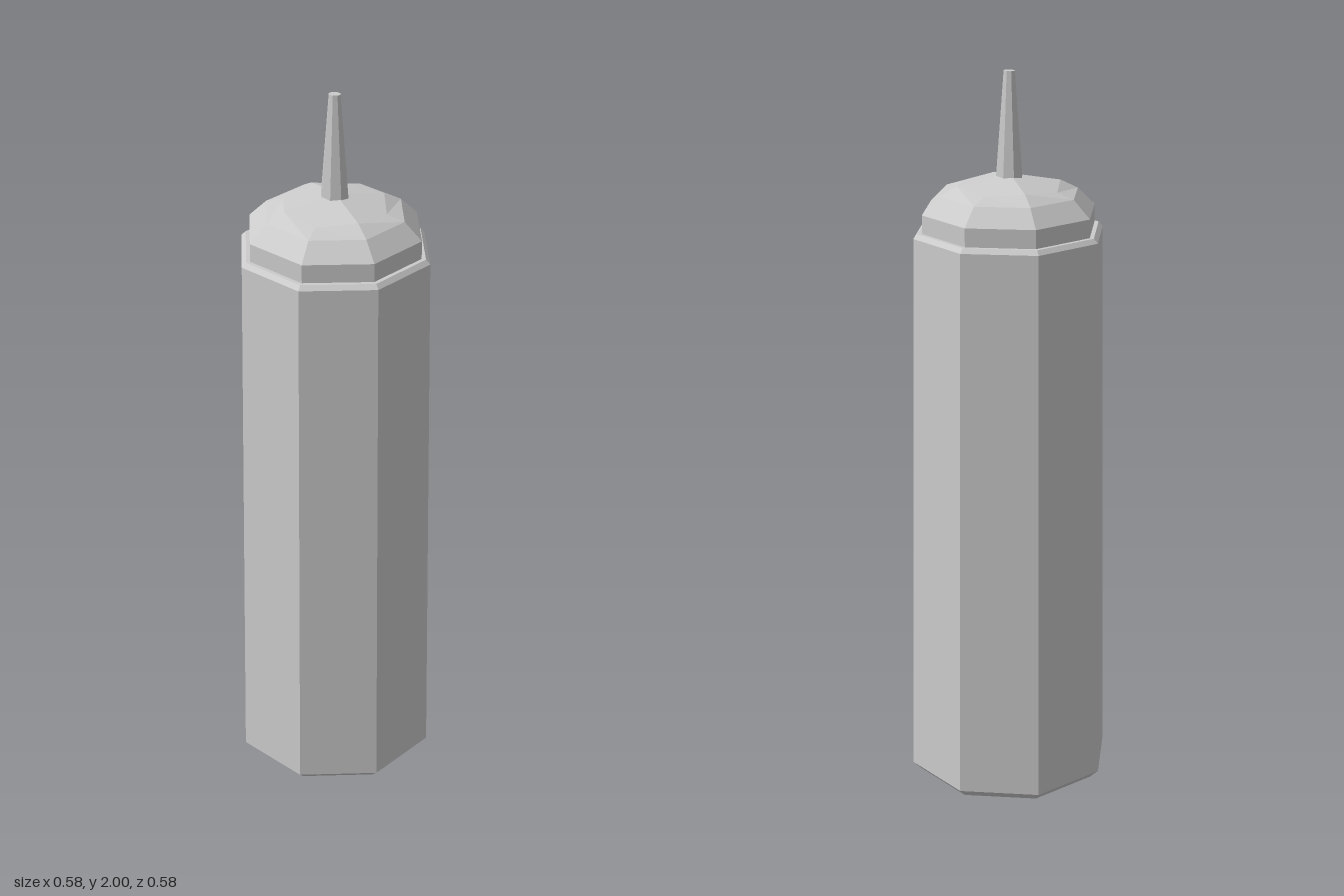
import * as THREE from 'three';

const SIDES = 8;

function lathePart(name, profile, material) {
  const points = profile.map(([r, y]) => new THREE.Vector2(r, y));
  const mesh = new THREE.Mesh(new THREE.LatheGeometry(points, SIDES), material);
  mesh.name = name;
  return mesh;
}

export function createModel() {
  const group = new THREE.Group();
  group.name = 'squeezeBottle';
  const material = new THREE.MeshStandardMaterial({ color: 0xcccccc, flatShading: true });

  // Tapered body with a bevelled foot and shoulder
  const body = lathePart('body', [
    [0, 0], [0.262, 0], [0.288, 0.025], [0.264, 1.568], [0.252, 1.58], [0, 1.58],
  ], material);

  // Screw cap with a low dome
  const domeRing = 0.143;
  const cap = lathePart('cap', [
    [0.24, 1.58], [0.24, 1.63], [0.192, 1.677], [domeRing, 1.691], [0, 1.729],
  ], material);

  // Raise the diagonal corners so the crown becomes four flat facets
  const pos = cap.geometry.attributes.position;
  for (let i = 0; i < pos.count; i++) {
    const x = Math.abs(pos.getX(i)), z = Math.abs(pos.getZ(i));
    if (Math.abs(Math.hypot(x, z) - domeRing) < 0.001 && Math.abs(x - z) < 0.001) {
      pos.setY(i, 1.702);
    }
  }
  cap.geometry.computeVertexNormals();

  // Slim nozzle, slightly oval in section
  const nozzle = lathePart('nozzle', [[0.039, 1.71], [0.016, 2], [0, 2]], material);
  nozzle.scale.z = 0.87;

  group.add(body, cap, nozzle);
  return group;
}
